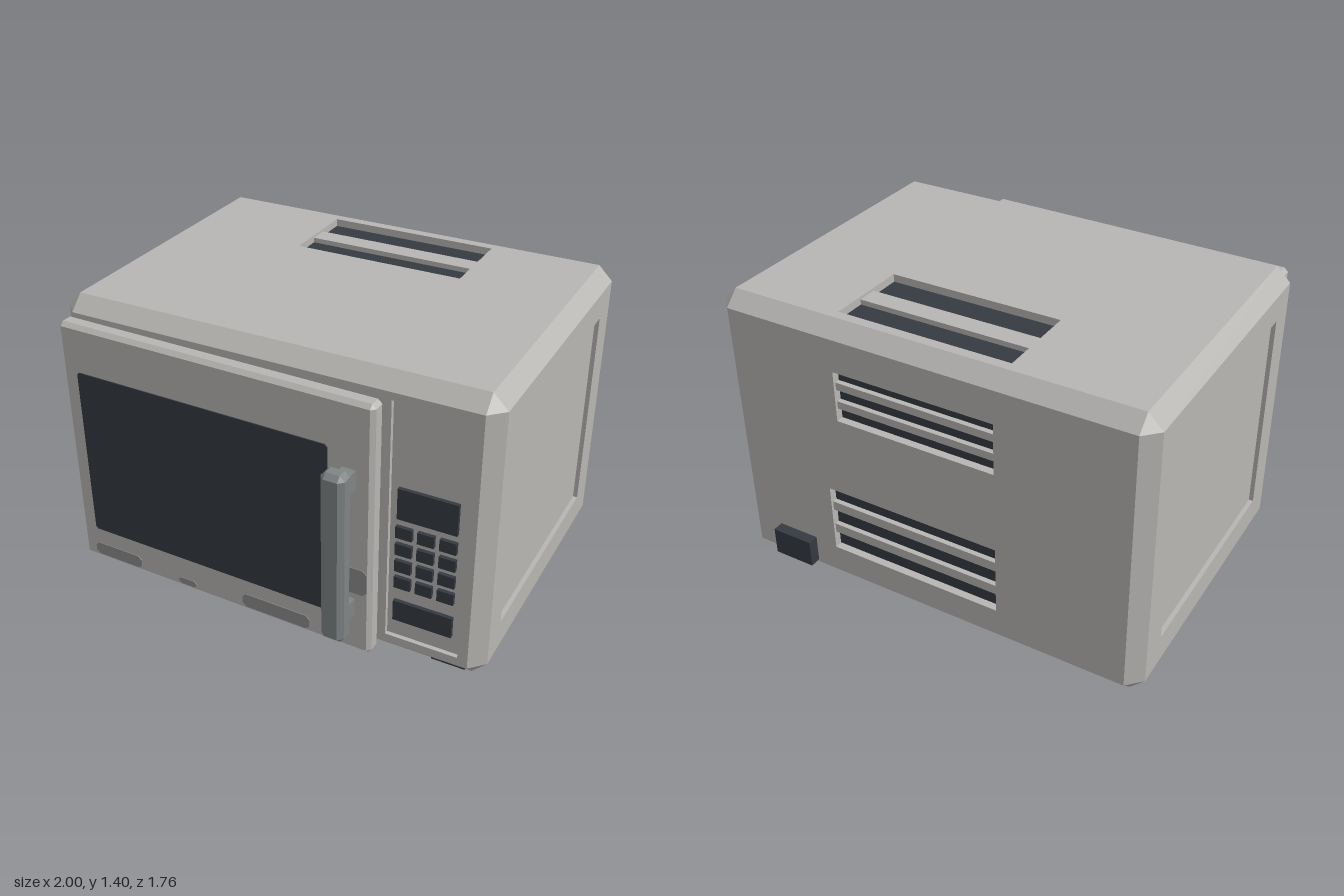
import * as THREE from 'three';
import { ConvexGeometry } from 'three/addons/geometries/ConvexGeometry.js';

const mat = (name, color) => new THREE.MeshStandardMaterial({ name, color });

// Corner points of a bevelled box: each corner has three points, one per axis.
function bevelPoint(h, c, signs, axis) {
  const v = [0, 1, 2].map(i => signs[i] * (h[i] - (i === axis ? 0 : c)));
  return new THREE.Vector3(...v);
}

function bevelBox(w, h, d, c) {
  const pts = [];
  for (const x of [-1, 1]) for (const y of [-1, 1]) for (const z of [-1, 1])
    for (let a = 0; a < 3; a++) pts.push(bevelPoint([w / 2, h / 2, d / 2], c, [x, y, z], a));
  return new ConvexGeometry(pts);
}

// Only the bevelled edges and corners of a box, leaving the six sides open.
function bevelEdges(w, h, d, c) {
  const half = [w / 2, h / 2, d / 2], pos = [];
  const tri = (p, q, r) => {
    const n = q.clone().sub(p).cross(r.clone().sub(p));
    const list = n.dot(p) > 0 ? [p, q, r] : [p, r, q];
    list.forEach(v => pos.push(v.x, v.y, v.z));
  };
  const S = [-1, 1];
  for (const x of S) for (const y of S) for (const z of S)
    tri(...[0, 1, 2].map(a => bevelPoint(half, c, [x, y, z], a)));
  for (let along = 0; along < 3; along++) {
    const a = (along + 1) % 3, b = (along + 2) % 3;
    for (const sa of S) for (const sb of S) {
      const ends = S.map(s => {
        const signs = [];
        signs[along] = s; signs[a] = sa; signs[b] = sb;
        return [bevelPoint(half, c, signs, a), bevelPoint(half, c, signs, b)];
      });
      tri(ends[0][0], ends[0][1], ends[1][1]);
      tri(ends[0][0], ends[1][1], ends[1][0]);
    }
  }
  const g = new THREE.BufferGeometry();
  g.setAttribute('position', new THREE.Float32BufferAttribute(pos, 3));
  g.computeVertexNormals();
  return g;
}

function rectPath(Type, [x0, y0, x1, y1]) {
  const p = new Type();
  p.moveTo(x0, y0).lineTo(x1, y0).lineTo(x1, y1).lineTo(x0, y1).closePath();
  return p;
}

function roundedPlate([x0, y0, x1, y1], r, depth) {
  const s = new THREE.Shape();
  s.moveTo(x0 + r, y0).lineTo(x1 - r, y0).lineTo(x1, y0 + r).lineTo(x1, y1 - r);
  s.lineTo(x1 - r, y1).lineTo(x0 + r, y1).lineTo(x0, y1 - r).lineTo(x0, y0 + r).closePath();
  return new THREE.ExtrudeGeometry(s, { depth, bevelEnabled: false });
}

export function createModel() {
  const model = new THREE.Group();
  model.name = 'microwaveOven';
  const casing = mat('casingGrey', 0xb8b6b3);
  const dark = mat('darkGlass', 0x353a41);
  const metal = mat('handleGrey', 0x7f8485);
  const stain = mat('wornGrey', 0x8e8d8c);

  const add = (parent, name, geo, material, x = 0, y = 0, z = 0) => {
    const m = new THREE.Mesh(geo, material);
    m.name = name;
    m.position.set(x, y, z);
    parent.add(m);
    return m;
  };
  // Box given by a rectangle and a z range
  const slab = (parent, name, [x0, y0, x1, y1], z0, z1, material) =>
    add(parent, name, new THREE.BoxGeometry(x1 - x0, y1 - y0, z1 - z0), material,
      (x0 + x1) / 2, (y0 + y1) / 2, (z0 + z1) / 2);

  // Casing: bevelled edges plus six side panels with cut-outs
  const C = 0.065, T = 0.04;
  add(model, 'casingEdges', bevelEdges(2, 1.345, 1.435, C), casing, 0, 0.7275, -0.1125);
  const side = (name, outer, holes, pos, rx, ry) => {
    const g = new THREE.Group();
    g.name = name;
    g.position.set(...pos);
    g.rotation.set(rx, ry, 0);
    const s = rectPath(THREE.Shape, outer);
    holes.forEach(h => s.holes.push(rectPath(THREE.Path, h)));
    add(g, name + 'Panel', new THREE.ExtrudeGeometry(s, { depth: T, bevelEnabled: false }), casing, 0, 0, -T);
    model.add(g);
    return g;
  };
  const Y0 = 0.12, Y1 = 1.335, H = Math.PI / 2;
  const control = [0.56, 0.16, 0.89, 1.3];
  const front = side('front', [-0.935, Y0, 0.935, Y1], [control], [0, 0, 0.605], 0, 0);
  slab(front, 'controlPanel', control, -0.05, -0.02, casing);

  const leftInset = [-0.41, 0.25, 0.63, 1.21], rightInset = [-0.63, 0.25, 0.41, 1.21];
  const left = side('leftSide', [-0.54, Y0, 0.765, Y1], [leftInset], [1, 0, 0], 0, H);
  slab(left, 'leftInset', leftInset, -0.05, -0.02, casing);
  const right = side('rightSide', [-0.765, Y0, 0.54, Y1], [rightInset], [-1, 0, 0], 0, -H);
  slab(right, 'rightInset', rightInset, -0.05, -0.02, casing);
  side('underside', [-0.935, -0.765, 0.935, 0.54], [], [0, 0.055, 0], H, 0);

  // Vents: dark floor crossed by bars
  const vent = (parent, [x0, y0, x1, y1], bars, barSize) => {
    slab(parent, 'ventFloor', [x0, y0, x1, y1], -0.05, -0.035, dark);
    const gap = (y1 - y0 - bars * barSize) / (bars + 1);
    for (let i = 0; i < bars; i++) {
      const y = y0 + gap * (i + 1) + barSize * i;
      slab(parent, 'ventBar', [x0, y, x1, y + barSize], -0.04, -0.012, casing);
    }
  };
  const topVent = [-0.36, 0.34, 0.44, 0.72];
  const top = side('top', [-0.935, -0.54, 0.935, 0.765], [topVent], [0, 1.4, 0], -H, 0);
  vent(top, topVent, 1, 0.09);
  const upperVent = [-0.41, 0.95, 0.34, 1.185], lowerVent = [-0.49, 0.25, 0.34, 0.575];
  const back = side('back', [-0.935, Y0, 0.935, Y1], [upperVent, lowerVent], [0, 0, -0.83], 0, Math.PI);
  vent(back, upperVent, 2, 0.035);
  vent(back, lowerVent, 2, 0.045);
  slab(back, 'cordBlock', [-0.8, 0.13, -0.6, 0.26], -0.01, 0.05, dark);

  // Controls
  slab(front, 'display', [0.595, 0.765, 0.855, 0.91], -0.03, -0.002, dark);
  slab(front, 'startButton', [0.59, 0.25, 0.855, 0.35], -0.03, -0.002, dark);
  for (let r = 0; r < 4; r++) for (let c = 0; c < 3; c++) {
    const x = 0.59 + c * 0.096, y = 0.42 + r * 0.084;
    slab(front, 'keypadButton', [x, y, x + 0.073, y + 0.055], -0.03, -0.002, dark);
  }

  // Feet
  for (const x of [-0.808, 0.808]) for (const z of [-0.64, 0.42])
    add(model, 'foot', new THREE.BoxGeometry(0.157, 0.06, 0.142), dark, x, 0.03, z);

  // Door, hinged at its -x edge and slightly ajar
  const door = new THREE.Group();
  door.name = 'door';
  door.position.set(-0.943, 0, 0.657);
  door.rotation.y = -0.021;
  model.add(door);
  add(door, 'doorSlab', bevelBox(1.492, 1.2, 0.082, 0.018), casing, 0.746, 0.73, 0);
  add(door, 'window', roundedPlate([0.08, 0.3, 1.294, 1.11], 0.01, 0.006), dark, 0, 0, 0.04);
  slab(door, 'innerWindow', [0.08, 0.3, 1.294, 1.11], -0.047, -0.04, dark);

  // Handle and its mounts
  add(door, 'handle', bevelBox(0.105, 0.805, 0.085, 0.022), metal, 1.388, 0.678, 0.151);
  for (const y of [0.363, 0.988])
    add(door, 'handleMount', new THREE.BoxGeometry(0.062, 0.085, 0.09), metal, 1.388, y, 0.08);

  // Worn patches on the door front
  const patches = [[0.066, 0.155, 0.325, 0.217], [0.525, 0.155, 0.63, 0.187],
    [0.868, 0.155, 1.206, 0.223], [1.323, 0.435, 1.474, 0.56]];
  for (const p of patches)
    add(door, 'wornPatch', roundedPlate(p, 0.018, 0.004), stain, 0, 0, 0.04);

  return model;
}
